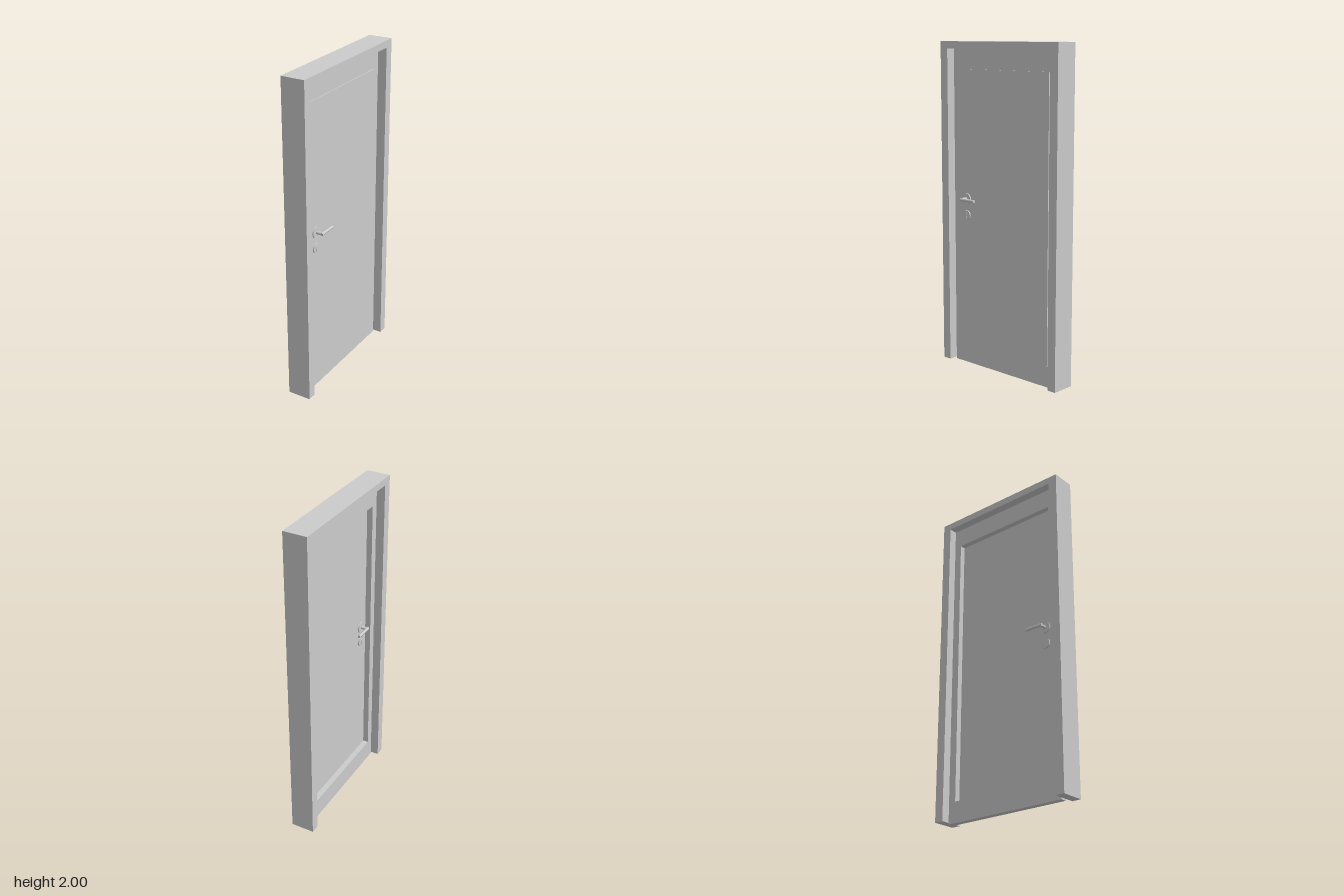
import * as THREE from 'three';

const material = new THREE.MeshStandardMaterial({ color: 0xcccccc });

function addMesh(parent, name, geometry, x = 0, y = 0, z = 0) {
  const mesh = new THREE.Mesh(geometry, material);
  mesh.name = name;
  mesh.position.set(x, y, z);
  parent.add(mesh);
  return mesh;
}

const points = (list) => list.map(([u, v]) => new THREE.Vector2(u, v));

// Extrude a (z, y) outline along x, between x0 and x1
function slab(outline, x0, x1, holes = []) {
  const shape = new THREE.Shape(points(outline));
  for (const hole of holes) shape.holes.push(new THREE.Path(points(hole)));
  return new THREE.ExtrudeGeometry(shape, { depth: x1 - x0, bevelEnabled: false })
    .rotateY(Math.PI / 2)
    .translate(x0, 0, 0);
}

const rect = (w, y0, y1) => [[-w, y0], [w, y0], [w, y1], [-w, y1]];

// Disc or rod whose axis runs along x
const rodX = (radius, length, sides = 24) =>
  new THREE.CylinderGeometry(radius, radius, length, sides).rotateZ(Math.PI / 2);

// Handle set for the face at local x = 0, facing +x
function createHandleSet(side) {
  const set = new THREE.Group();
  set.name = side + 'HandleSet';

  // Lever rose, neck, and lever
  addMesh(set, 'leverRose', rodX(0.035, 0.008), 0.004, 1.05, 0.295);
  addMesh(set, 'leverNeck', rodX(0.01, 0.045, 16), 0.0245, 1.05, 0.295);
  const lever = new THREE.CylinderGeometry(0.009, 0.009, 0.114, 16).rotateX(Math.PI / 2);
  addMesh(set, 'lever', lever, 0.046, 1.05, 0.247);

  // Key rose and profile cylinder
  addMesh(set, 'keyRose', rodX(0.031, 0.008), 0.004, 0.948, 0.295);
  addMesh(set, 'lockBarrel', rodX(0.009, 0.004, 16), 0.009, 0.955, 0.295);
  addMesh(set, 'lockTail', new THREE.BoxGeometry(0.003, 0.022, 0.009), 0.0085, 0.94, 0.295);
  return set;
}

export function createModel() {
  const door = new THREE.Group();
  door.name = 'door';

  // Surrounding frame, open at the bottom
  const W = 0.462, w = 0.405;
  addMesh(door, 'doorFrame', slab([
    [-W, 0.01], [-w, 0.01], [-w, 1.957], [w, 1.957],
    [w, 0.01], [W, 0.01], [W, 2], [-W, 2],
  ], -0.073, 0.073));

  // Leaf border around the panel
  addMesh(door, 'leafBorder', slab(rect(w, 0, 1.957), -0.021, 0.017, [rect(0.357, 0.127, 1.836)]));

  // Panel: deeply recessed on one face, slightly proud of the other
  addMesh(door, 'panel', slab(rect(0.357, 0.127, 1.836), 0.014, 0.023));

  // Handles on both faces
  const outer = createHandleSet('outer');
  outer.position.x = 0.023;
  const inner = createHandleSet('inner');
  inner.position.set(0.014, 0, 0.59);
  inner.rotation.y = Math.PI;
  // The lever of the inner set points the same way as the outer one
  inner.getObjectByName('lever').position.z = 0.343;
  door.add(outer, inner);

  return door;
}
